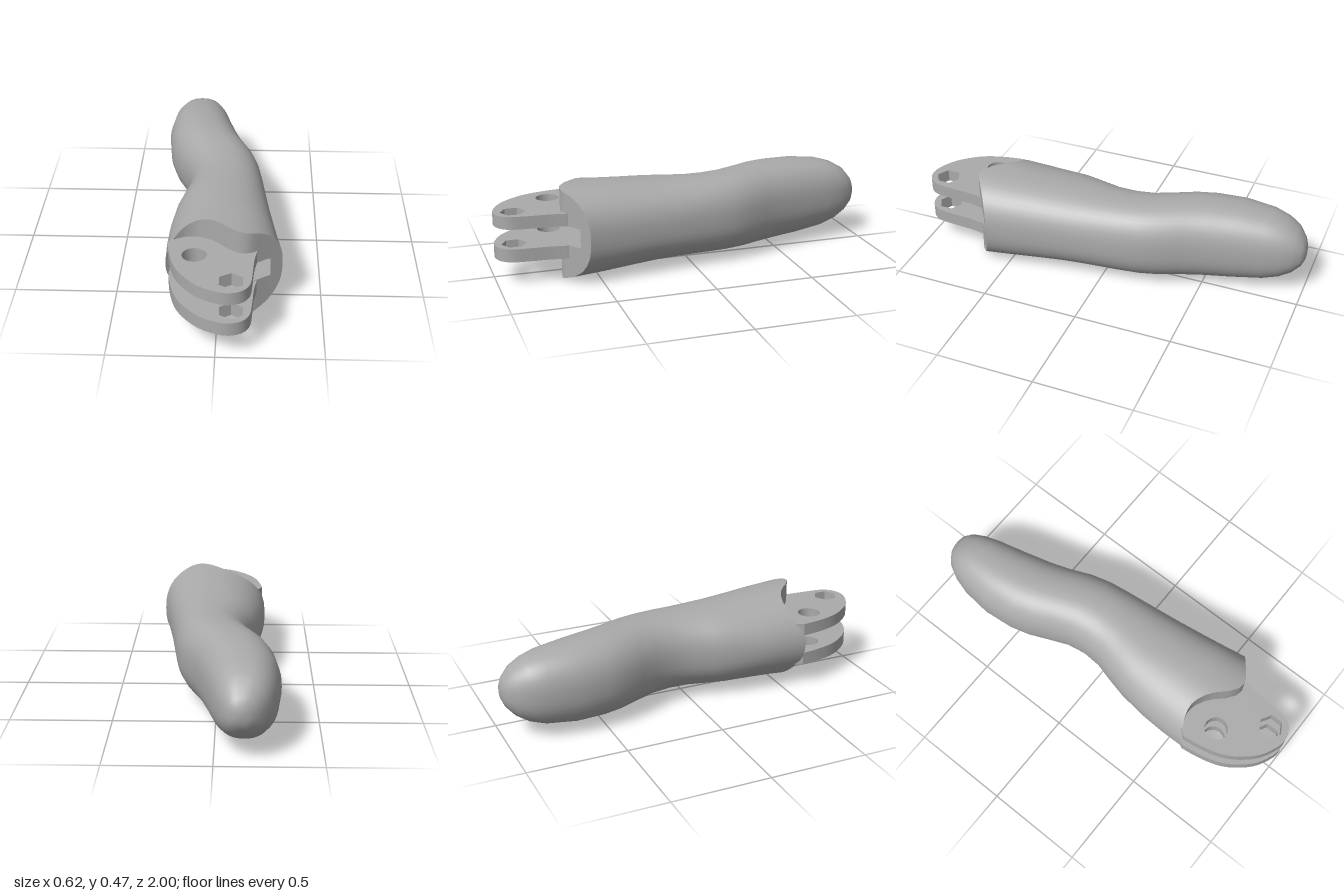
import * as THREE from 'three';
import { toCreasedNormals } from 'three/addons/utils/BufferGeometryUtils.js';

const grey = new THREE.MeshStandardMaterial({ color: 0xaaaaaa, side: THREE.DoubleSide });
grey.name = 'grey plastic';

const SEG = 48;

// Finger cross-sections: z, left x, right x, bottom y, top y
const sections = [
  [-0.995, -0.16, -0.085, 0.20, 0.28],
  [-0.98, -0.195, -0.06, 0.165, 0.315],
  [-0.94, -0.24, -0.03, 0.12, 0.365],
  [-0.88, -0.272, -0.004, 0.082, 0.4],
  [-0.8, -0.295, 0.02, 0.056, 0.425],
  [-0.65, -0.31, 0.055, 0.037, 0.443],
  [-0.5, -0.295, 0.095, 0.031, 0.449],
  [-0.4, -0.268, 0.13, 0.03, 0.45],
  [-0.3, -0.225, 0.173, 0.032, 0.447],
  [-0.2, -0.183, 0.2, 0.035, 0.443],
  [-0.1, -0.166, 0.214, 0.037, 0.441],
  [0, -0.172, 0.226, 0.037, 0.44],
  [0.1, -0.2, 0.238, 0.034, 0.443],
  [0.2, -0.224, 0.25, 0.03, 0.447],
  [0.35, -0.245, 0.271, 0.019, 0.456],
  [0.48, -0.25, 0.29, 0.01, 0.464],
  [0.62, -0.248, 0.307, 0, 0.472],
];
const front = sections[sections.length - 1];

// Wavy front cut: x, z
const cut = [[-0.25, 0.605], [-0.2, 0.565], [-0.15, 0.543], [-0.11, 0.538], [-0.05, 0.555], [0.0, 0.59],
  [0.04, 0.635], [0.08, 0.67], [0.12, 0.685], [0.155, 0.678], [0.2, 0.645], [0.307, 0.573]];

function cutZ(x) {
  for (let i = 1; i < cut.length; i++) {
    const [x0, z0] = cut[i - 1], [x1, z1] = cut[i];
    if (x <= x1) return z0 + (z1 - z0) * Math.max(0, (x - x0) / (x1 - x0));
  }
  return cut[cut.length - 1][1];
}

const centreX = ([z, l, r]) => (l + r) / 2 + 0.02 * THREE.MathUtils.clamp(z / 0.5, 0, 1);
const power = (u, z) => (u > 0 ? 2.4 : z > 0.2 ? 2.05 : 2.3);

// Half height of a section at x
function halfHeight(s, x) {
  const cx = centreX(s), a = x > cx ? s[2] - cx : cx - s[1];
  const u = Math.min(1, Math.abs(x - cx) / a), n = power(x - cx, s[0]);
  return (s[4] - s[3]) / 2 * Math.pow(1 - Math.pow(u, n), 1 / n);
}

// Closed ring of points, symmetric above and below
function ring(s) {
  const cx = centreX(s), cy = (s[3] + s[4]) / 2, pts = [];
  for (let i = 0; i < SEG; i++) {
    const t = i / SEG * Math.PI * 2, c = Math.cos(t), sn = Math.sin(t);
    const n = power(c, s[0]), a = c > 0 ? s[2] - cx : cx - s[1];
    const x = cx + Math.sign(c) * a * Math.pow(Math.abs(c), 2 / n);
    const y = cy + Math.sign(sn) * (s[4] - s[3]) / 2 * Math.pow(Math.abs(sn), 2 / n);
    pts.push([x, y, s === front ? cutZ(x) : s[0]]);
  }
  return pts;
}

function bodyGeometry() {
  const pos = [], index = [];
  sections.forEach((s) => ring(s).forEach((p) => pos.push(...p)));
  for (let r = 0; r < sections.length - 1; r++) {
    for (let i = 0; i < SEG; i++) {
      const j = (i + 1) % SEG, a = r * SEG + i, b = r * SEG + j;
      index.push(a, b, b + SEG, a, b + SEG, a + SEG);
    }
  }
  // Rounded tip
  const tip = pos.length / 3;
  pos.push(-0.12, 0.24, -1);
  for (let i = 0; i < SEG; i++) index.push(tip, (i + 1) % SEG, i);
  const g = new THREE.BufferGeometry();
  g.setAttribute('position', new THREE.Float32BufferAttribute(pos, 3));
  g.setIndex(index);
  g.computeVertexNormals();
  return g;
}

// Front face made of vertical strips, with two pockets between the plates
function frontGeometry() {
  const pockets = [[-0.232, -0.16], [-0.085, 0.25]];
  const yLow = 0.192, yHigh = 0.288, floor = 0.48, cy = (front[3] + front[4]) / 2;
  const xs = [...new Set([...ring(front).map((p) => +p[0].toFixed(4)), ...pockets.flat()])].sort((a, b) => a - b);
  const pos = [];
  const quad = (a, b, c, d) => pos.push(...a, ...b, ...c, ...a, ...c, ...d);
  for (let i = 0; i < xs.length - 1; i++) {
    const x0 = xs[i], x1 = xs[i + 1], z0 = cutZ(x0), z1 = cutZ(x1);
    const h0 = halfHeight(front, x0), h1 = halfHeight(front, x1);
    const strip = (b0, b1, t0, t1) => quad([x0, b0, z0], [x1, b1, z1], [x1, t1, z1], [x0, t0, z0]);
    const mid = (x0 + x1) / 2;
    if (pockets.some(([l, r]) => mid > l && mid < r)) {
      strip(cy - h0, cy - h1, yLow, yLow);
      strip(yHigh, yHigh, cy + h0, cy + h1);
      quad([x0, yLow, z0], [x0, yLow, floor], [x1, yLow, floor], [x1, yLow, z1]);
      quad([x0, yHigh, floor], [x0, yHigh, z0], [x1, yHigh, z1], [x1, yHigh, floor]);
      quad([x0, yLow, floor], [x0, yHigh, floor], [x1, yHigh, floor], [x1, yLow, floor].slice());
    } else strip(cy - h0, cy - h1, cy + h0, cy + h1);
  }
  // Pocket side walls
  for (const x of pockets.flat()) {
    const z = cutZ(x);
    quad([x, yLow, floor], [x, yLow, z], [x, yHigh, z], [x, yHigh, floor]);
  }
  const g = new THREE.BufferGeometry();
  g.setAttribute('position', new THREE.Float32BufferAttribute(pos, 3));
  return toCreasedNormals(g, 0.6);
}

// Hinge plate with a round pin hole and a hexagonal hole
function plateGeometry(thickness) {
  const edge = new THREE.SplineCurve([[-0.235, 0.6], [-0.222, 0.69], [-0.195, 0.79], [-0.15, 0.87], [-0.08, 0.945],
    [0, 0.988], [0.06, 1], [0.12, 0.98], [0.155, 0.93], [0.165, 0.85], [0.172, 0.74], [0.185, 0.66]]
    .map(([x, z]) => new THREE.Vector2(x, -z)));
  const shape = new THREE.Shape([new THREE.Vector2(-0.19, -0.52), ...edge.getPoints(33), new THREE.Vector2(0.185, -0.52)]);
  const hole = (x, z, r, sides) => {
    const pts = [];
    for (let i = 0; i < sides; i++) {
      const t = i / sides * Math.PI * 2;
      pts.push(new THREE.Vector2(x + r * Math.sin(t), -z + r * Math.cos(t)));
    }
    shape.holes.push(new THREE.Path(pts));
  };
  hole(-0.105, 0.7, 0.058, 16);
  hole(0.07, 0.905, 0.062, 6);
  const g = new THREE.ExtrudeGeometry(shape, { depth: thickness, bevelEnabled: false });
  g.rotateX(-Math.PI / 2);
  return toCreasedNormals(g, 0.5);
}

export function createModel() {
  const model = new THREE.Group();
  model.name = 'fingerSegment';
  const add = (name, geometry, y = 0) => {
    const mesh = new THREE.Mesh(geometry, grey);
    mesh.name = name;
    mesh.position.y = y;
    model.add(mesh);
  };
  add('fingerBody', bodyGeometry());
  add('frontFace', frontGeometry());
  add('lowerHingePlate', plateGeometry(0.067), 0.123);
  add('upperHingePlate', plateGeometry(0.064), 0.29);
  return model;
}
